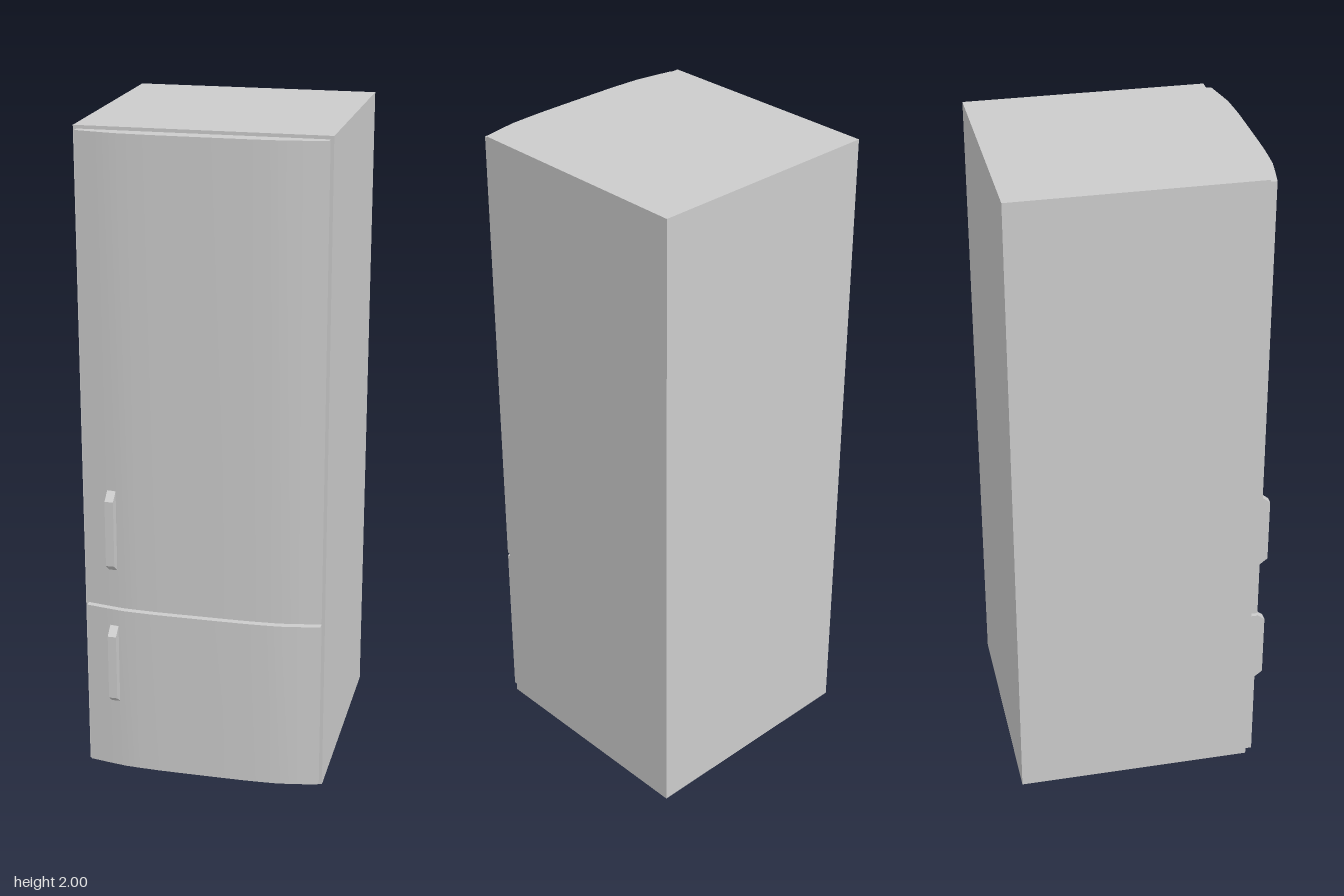
import * as THREE from 'three';
import { toCreasedNormals } from 'three/addons/utils/BufferGeometryUtils.js';

const grey = new THREE.MeshStandardMaterial({ color: 0xcccccc });

// Half of the bowed door front, from the centre to the edge: [x, z]
const bow = [[0.07, 0.378], [0.14, 0.3775], [0.19, 0.3755], [0.24, 0.373], [0.3, 0.363], [0.36, 0.352]];
const BODY_FRONT = 0.33;

function part(geometry, name) {
  const mesh = new THREE.Mesh(geometry, grey);
  mesh.name = name;
  return mesh;
}

// Bowed slab: plan outline extruded over the door's height
function door(name, bottom, top) {
  const outline = [
    [-0.36, BODY_FRONT], [0.36, BODY_FRONT],
    ...[...bow].reverse(),
    ...bow.map(([x, z]) => [-x, z]),
  ];
  const shape = new THREE.Shape(outline.map(([x, z]) => new THREE.Vector2(x, z)));
  const geometry = new THREE.ExtrudeGeometry(shape, { depth: top - bottom, bevelEnabled: false });
  geometry.rotateX(Math.PI / 2).translate(0, top, 0);
  return part(toCreasedNormals(geometry, 0.4), name);
}

// Upright grip with sloping ends, side profile extruded across its width
function handle(name, bottom, top) {
  const width = 0.026;
  const shape = new THREE.Shape([
    [0.364, bottom], [0.37, bottom], [0.4, bottom + 0.024],
    [0.4, top - 0.024], [0.37, top], [0.364, top],
  ].map(([z, y]) => new THREE.Vector2(z, y)));
  const geometry = new THREE.ExtrudeGeometry(shape, { depth: width, bevelEnabled: false });
  geometry.rotateY(-Math.PI / 2).translate(-0.27 + width / 2, 0, 0);
  return part(geometry, name);
}

export function createModel() {
  const model = new THREE.Group();
  model.name = 'fridgeFreezer';

  // Cabinet
  const cabinet = part(new THREE.BoxGeometry(0.74, 2, 0.73), 'cabinet');
  cabinet.position.set(0, 1, -0.035);
  model.add(cabinet);

  // Doors and their handles
  model.add(
    door('freezerDoor', 0.01, 0.54),
    door('fridgeDoor', 0.55, 1.99),
    handle('freezerHandle', 0.233, 0.487),
    handle('fridgeHandle', 0.672, 0.926),
  );
  return model;
}
